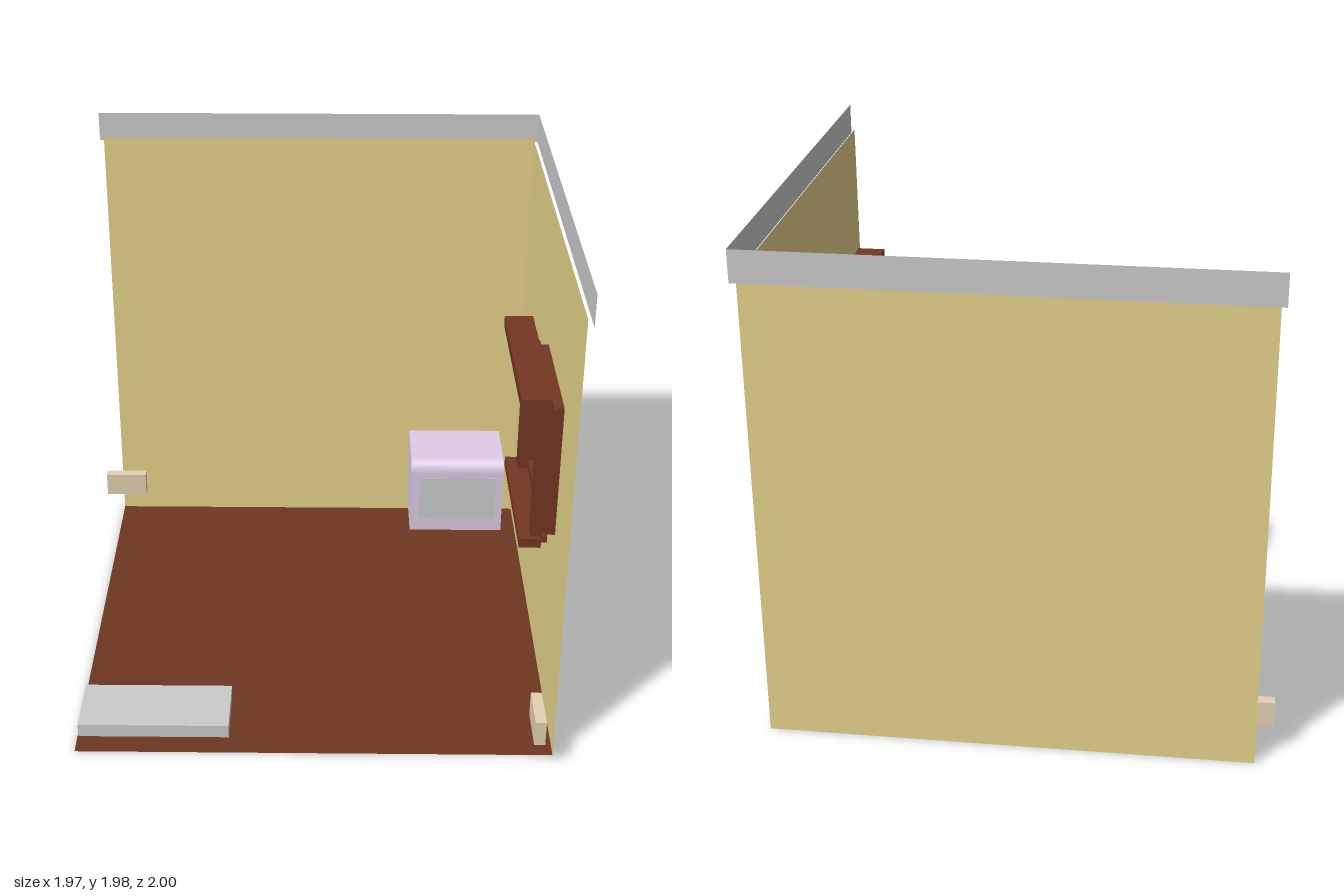
import * as THREE from 'three';

const mat = (color, extra = {}) => new THREE.MeshStandardMaterial({ color, ...extra });
const both = { side: THREE.DoubleSide };
const wallMat = mat(0xe6d38c, both);
const floorMat = mat(0x6d3720, both);
const trimMat = mat(0xcccccc, both);
const greyMat = mat(0xcccccc);
const woodMat = mat(0x733722);
const plateMat = mat(0xe4d2b1);
const lilacMat = mat(0xdecce5);
const glassMat = mat(0x080808);

// Box given by its extents on each axis
function box(name, material, [x0, x1], [y0, y1], [z0, z1]) {
  const mesh = new THREE.Mesh(new THREE.BoxGeometry(x1 - x0, y1 - y0, z1 - z0), material);
  mesh.position.set((x0 + x1) / 2, (y0 + y1) / 2, (z0 + z1) / 2);
  mesh.name = name;
  return mesh;
}

// Thin sheet facing +z, or turned by rx / ry
function sheet(name, material, w, h, [x, y, z], rx = 0, ry = 0) {
  const mesh = new THREE.Mesh(new THREE.PlaneGeometry(w, h), material);
  mesh.position.set(x, y, z);
  mesh.rotation.set(rx, ry, 0);
  mesh.name = name;
  return mesh;
}

function createWindow() {
  const g = new THREE.Group();
  g.name = 'window';
  const z0 = -0.02, z1 = 0.535, mid = (z0 + z1) / 2;

  // Stepped cornice and sill
  g.add(
    box('corniceTop', woodMat, [0.785, 0.9], [1.38, 1.425], [-0.12, 0.62]),
    box('corniceLower', woodMat, [0.8, 0.913], [1.34, 1.382], [-0.077, 0.575]),
    box('corniceFillet', woodMat, [0.89, 0.925], [1.335, 1.353], [-0.045, 0.56]),
    box('sill', woodMat, [0.815, 0.9], [0.755, 0.795], [-0.077, 0.575]),
    box('sillFillet', woodMat, [0.89, 0.925], [0.77, 0.795], [-0.045, 0.56])
  );

  // Square frame with dark glass set into it
  const outer = new THREE.Shape([[z0, 0.79], [z1, 0.79], [z1, 1.345], [z0, 1.345]]
    .map(([z, y]) => new THREE.Vector2(-z, y)));
  outer.holes.push(new THREE.Path([[z0 + 0.05, 0.84], [z0 + 0.05, 1.295], [z1 - 0.05, 1.295], [z1 - 0.05, 0.84]]
    .map(([z, y]) => new THREE.Vector2(-z, y))));
  const frame = new THREE.Mesh(
    new THREE.ExtrudeGeometry(outer, { depth: 0.058, bevelEnabled: false }), woodMat);
  frame.rotation.y = Math.PI / 2;
  frame.position.x = 0.9;
  frame.name = 'windowFrame';
  g.add(frame, box('glass', glassMat, [0.93, 0.94], [0.82, 1.32], [z0 + 0.03, z1 - 0.03]));

  // Side casings and glazing bars
  for (const s of [-1, 1]) {
    const c = mid + s * 0.27;
    g.add(box('sideCasing', woodMat, [0.86, 0.905], [0.79, 1.345], [c - 0.03, c + 0.03]));
  }
  g.add(
    box('uprightBar', woodMat, [0.905, 0.935], [0.83, 1.3], [mid - 0.014, mid + 0.014]),
    box('crossBar', woodMat, [0.908, 0.935], [1.054, 1.082], [z0 + 0.04, z1 - 0.04])
  );
  return g;
}

function createCabinet() {
  const g = new THREE.Group();
  g.name = 'cabinet';
  const back = -0.88, front = -0.57, w = 0.42;

  // Body, with a softly rounded front edge on top
  g.add(box('cabinetBody', lilacMat, [0.45, 0.87], [0.13, 0.425], [back, front]));
  const profile = new THREE.Shape();
  profile.moveTo(-back, 0.425);
  profile.lineTo(-back, 0.485);
  profile.lineTo(0.61, 0.485);
  profile.quadraticCurveTo(-front, 0.475, -front, 0.425);
  const lid = new THREE.Mesh(
    new THREE.ExtrudeGeometry(profile, { depth: w, bevelEnabled: false, curveSegments: 8 }), lilacMat);
  lid.rotation.y = Math.PI / 2;
  lid.position.x = 0.45;
  lid.name = 'cabinetLid';

  // Grey front panel
  g.add(lid, box('frontPanel', greyMat, [0.49, 0.838], [0.19, 0.405], [front - 0.02, front + 0.002]));
  return g;
}

export function createModel() {
  const room = new THREE.Group();
  room.name = 'room';

  // Floor and the two walls
  room.add(
    sheet('floor', floorMat, 1.88, 1.88, [0.02, 0, -0.04], -Math.PI / 2),
    sheet('backWall', wallMat, 1.88, 1.88, [0.02, 0.94, -0.98]),
    sheet('sideWall', wallMat, 1.88, 1.88, [0.96, 0.94, -0.04], 0, -Math.PI / 2)
  );

  // Thin band round the outside of the wall tops
  room.add(
    sheet('backTrim', trimMat, 1.92, 0.125, [0.02, 1.922, -1]),
    sheet('sideTrim', trimMat, 1.925, 0.125, [0.98, 1.922, -0.0375], 0, -Math.PI / 2)
  );

  // Low slab at the front corner and the two small end blocks
  room.add(
    box('slab', greyMat, [-0.9, -0.31], [0.075, 0.13], [0.64, 0.9]),
    box('backBlock', plateMat, [-0.985, -0.8], [0.13, 0.235], [-0.92, -0.877]),
    box('sideBlock', plateMat, [0.87, 0.913], [0.13, 0.235], [0.81, 1])
  );

  room.add(createWindow(), createCabinet());
  return room;
}
